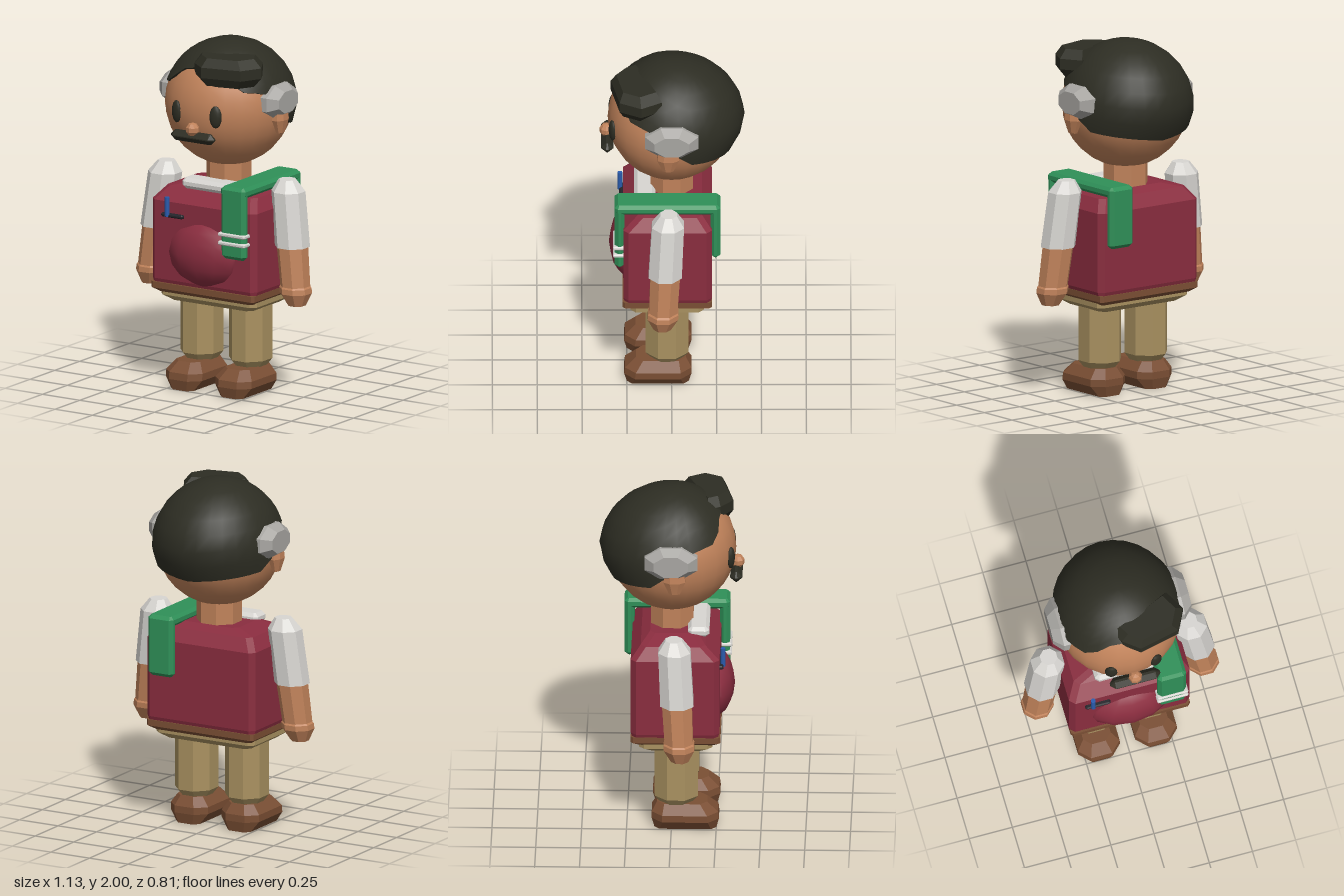
import * as THREE from 'three';
import { toCreasedNormals } from 'three/addons/utils/BufferGeometryUtils.js';
import { ConvexGeometry } from 'three/addons/geometries/ConvexGeometry.js';

const mat = (name, color) => {
  const m = new THREE.MeshStandardMaterial({ color });
  m.name = name;
  return m;
};

// Facet a geometry with one normal per face
function facet(g) {
  const f = g.index ? g.toNonIndexed() : g;
  f.computeVertexNormals();
  return f;
}

// Convex solid from stacked rectangles with cut corners: [y, x0, x1, z0, z1, cut]
function stack(rings) {
  const pts = [];
  for (const [y, x0, x1, z0, z1, c] of rings) {
    for (const [x, sx] of [[x0, 1], [x1, -1]]) {
      for (const [z, sz] of [[z0, 1], [z1, -1]]) {
        pts.push(new THREE.Vector3(x + sx * c, y, z), new THREE.Vector3(x, y, z + sz * c));
      }
    }
  }
  return new ConvexGeometry(pts);
}

// Box with all edges cut by b
function bevelBox(x0, x1, y0, y1, z0, z1, b) {
  return stack([
    [y0, x0 + b, x1 - b, z0 + b, z1 - b, b * 0.4],
    [y0 + b, x0, x1, z0, z1, b], [y1 - b, x0, x1, z0, z1, b],
    [y1, x0 + b, x1 - b, z0 + b, z1 - b, b * 0.4],
  ]);
}

// Eight-sided turned solid, profile [radius, y] from bottom to top
function turned(profile) {
  const g = new THREE.LatheGeometry(profile.map(p => new THREE.Vector2(...p)), 8);
  return facet(g.rotateY(Math.PI / 8));
}

// Lean a turned limb outward and forward as it goes down
function lean(g, s) {
  const p = g.attributes.position;
  for (let i = 0; i < p.count; i++) {
    const d = 1.2 - p.getY(i);
    p.setX(i, p.getX(i) + s * (0.41 + d * 0.12));
    p.setZ(i, p.getZ(i) + 0.02 + d * 0.05);
  }
  g.computeVertexNormals();
  return g;
}

// Hair shell: a sphere grid whose lower edge follows a hairline
function hairGeometry() {
  const line = [[0, 47], [25, 52], [45, 69], [70, 72], [90, 90], [105, 106], [180, 115]];
  const limit = a => {
    const k = Math.max(1, line.findIndex(l => l[0] >= a));
    const [p, q] = [line[k - 1], line[k]];
    return THREE.MathUtils.lerp(p[1], q[1], (a - p[0]) / (q[0] - p[0]));
  };
  const N = 30, M = 8, pos = [], idx = [];
  for (let j = 0; j <= M + 1; j++) {
    for (let i = 0; i <= N; i++) {
      const deg = (i / N) * 360, a = THREE.MathUtils.degToRad(deg);
      const t = THREE.MathUtils.degToRad(limit(Math.min(deg, 360 - deg))) * Math.min(j, M) / M;
      const r = j > M ? 0.31 : 0.368;
      const d = [Math.sin(t) * Math.sin(a), Math.cos(t), Math.sin(t) * Math.cos(a)];
      const back = j > M ? 0 : 0.04 * Math.max(0, -d[2]) * Math.min(1, 1 + 2 * d[1]);
      pos.push(d[0] * r, d[1] * r, d[2] * r - back);
    }
  }
  for (let j = 0; j <= M; j++) {
    for (let i = 0; i < N; i++) {
      const A = j * (N + 1) + i, C = A + N + 1;
      if (j > 0) idx.push(A, C, A + 1);
      idx.push(A + 1, C, C + 1);
    }
  }
  const g = new THREE.BufferGeometry();
  g.setAttribute('position', new THREE.Float32BufferAttribute(pos, 3));
  g.setIndex(idx);
  return toCreasedNormals(g, 0.9);
}

export function createModel() {
  const skin = mat('skin', 0xc0825a), dark = mat('dark hair', 0x2d2d23);
  const grey = mat('grey hair', 0xa8a6a2), white = mat('white cloth', 0xd8d6d2);
  const red = mat('red shirt', 0x8a2d3f), khaki = mat('khaki cloth', 0xa99160);
  const brown = mat('brown leather', 0x7b4f34), green = mat('green strap', 0x2f9058);
  const blue = mat('blue pen', 0x2a5cae), black = mat('black trim', 0x24242a);

  const model = new THREE.Group();
  const add = (name, geo, material, x = 0, y = 0, z = 0) => {
    const m = new THREE.Mesh(geo, material);
    m.name = name;
    m.position.set(x, y, z);
    model.add(m);
    return m;
  };

  // Head and hair
  add('head', new THREE.SphereGeometry(0.357, 24, 16), skin, 0, 1.635, 0);
  add('hair', hairGeometry(), dark, 0, 1.633, 0);
  const outline = [[-0.09, 0.2], [0.265, 0.055], [0.33, 0.17], [0.27, 0.29], [0.04, 0.34], [-0.05, 0.27]];
  const tuft = [];
  for (const [y, k] of [[-0.08, 0.78], [-0.03, 1], [0.03, 1], [0.08, 0.78]]) {
    for (const [x, z] of outline) tuft.push(new THREE.Vector3((x - 0.125) * k, y, (z - 0.2) * k));
  }
  add('hairTuft', new ConvexGeometry(tuft), dark, 0.125, 1.87, 0.2);

  // Face
  add('nose', facet(new THREE.SphereGeometry(0.04, 8, 5)), skin, 0, 1.545, 0.365);
  add('moustache', bevelBox(-0.145, 0.145, 1.47, 1.53, 0.325, 0.393, 0.027), dark);
  add('neck', turned([[0.128, 1.1], [0.128, 1.33]]), skin);

  // Torso
  add('torso', stack([
    [0.6, -0.34, 0.34, -0.215, 0.26, 0.02], [0.63, -0.35, 0.35, -0.225, 0.27, 0.03],
    [1.08, -0.35, 0.35, -0.225, 0.27, 0.03], [1.15, -0.3, 0.3, -0.17, 0.19, 0.03],
    [1.18, -0.18, 0.18, -0.12, 0.14, 0.03],
  ]), red);
  const belly = add('belly', new THREE.SphereGeometry(1, 12, 8), red, 0, 0.8, 0.22);
  belly.scale.set(0.245, 0.19, 0.13);
  add('collar', bevelBox(-0.185, 0.185, 1.15, 1.212, 0.09, 0.21, 0.02), white);
  add('belt', stack([
    [0.55, -0.31, 0.31, -0.19, 0.24, 0.015], [0.575, -0.345, 0.345, -0.225, 0.275, 0.015],
    [0.61, -0.345, 0.345, -0.225, 0.275, 0.015],
  ]), brown);
  add('hips', stack([
    [0.497, -0.27, 0.27, -0.14, 0.19, 0.03], [0.53, -0.32, 0.32, -0.18, 0.23, 0.03],
    [0.56, -0.32, 0.32, -0.18, 0.23, 0.03],
  ]), khaki);

  // Shoulder strap with bands
  add('strapFront', bevelBox(0.148, 0.312, 0.815, 1.23, 0.262, 0.318, 0.02), green);
  add('strapTop', bevelBox(0.148, 0.312, 1.17, 1.23, -0.27, 0.318, 0.018), green);
  add('strapBack', bevelBox(0.148, 0.312, 0.88, 1.23, -0.272, -0.215, 0.02), green);
  for (const y of [0.905, 0.955]) {
    add('strapBand', bevelBox(0.14, 0.32, y - 0.011, y + 0.011, 0.255, 0.328, 0.006), white);
  }

  // Pocket edge and pen
  add('pocketEdge', bevelBox(-0.265, -0.12, 0.994, 1.016, 0.26, 0.292, 0.007), black);
  add('pen', new THREE.CylinderGeometry(0.014, 0.014, 0.11, 8), blue, -0.222, 1.055, 0.288);

  for (const s of [1, -1]) {
    const side = s > 0 ? 'left' : 'right';

    // Eye, ear and grey temple
    const eye = add(side + 'Eye', new THREE.SphereGeometry(1, 12, 8), dark, s * 0.13, 1.625, 0.33);
    eye.scale.set(0.036, 0.064, 0.02);
    eye.rotation.y = s * 0.3;
    const ear = add(side + 'Ear', turned([[0, -1], [0.5, -0.9], [1, 0.1], [0.9, 0.7], [0, 1]]),
      skin, s * 0.358, 1.575, 0.02);
    ear.scale.set(0.042, 0.075, 0.066);
    const temple = turned([[1, 0.3], [1, 0.35], [0.65, 0.4], [0, 0.4]]).rotateZ(-s * Math.PI / 2);
    add(side + 'Temple', temple, grey, 0, 1.685, 0).scale.set(1, 0.102, 0.16);

    // Sleeve, forearm and hand
    add(side + 'Sleeve', lean(turned([[0, 0.87], [0.1, 0.87], [0.097, 1.18], [0.05, 1.245], [0, 1.245]]), s), white);
    add(side + 'Forearm', lean(turned([[0.085, 0.63], [0.09, 0.89]]), s), skin);
    add(side + 'Hand', lean(turned([[0, 0.54], [0.052, 0.54], [0.092, 0.61], [0.092, 0.64], [0.07, 0.67]]), s), skin);

    // Trouser leg and shoe
    const leg = add(side + 'Leg', turned([[0, 0.15], [0.09, 0.15], [0.121, 0.19], [0.121, 0.52]]),
      khaki, s * 0.163, 0, 0.026);
    leg.scale.z = 1.08;
    add(side + 'Shoe', stack([
      [0, -0.075, 0.075, -0.095, 0.25, 0.03], [0.06, -0.121, 0.121, -0.11, 0.265, 0.06],
      [0.1, -0.121, 0.121, -0.11, 0.26, 0.06], [0.155, -0.08, 0.08, -0.08, 0.2, 0.04],
    ]), brown, s * 0.165, 0, 0);
  }
  return model;
}
